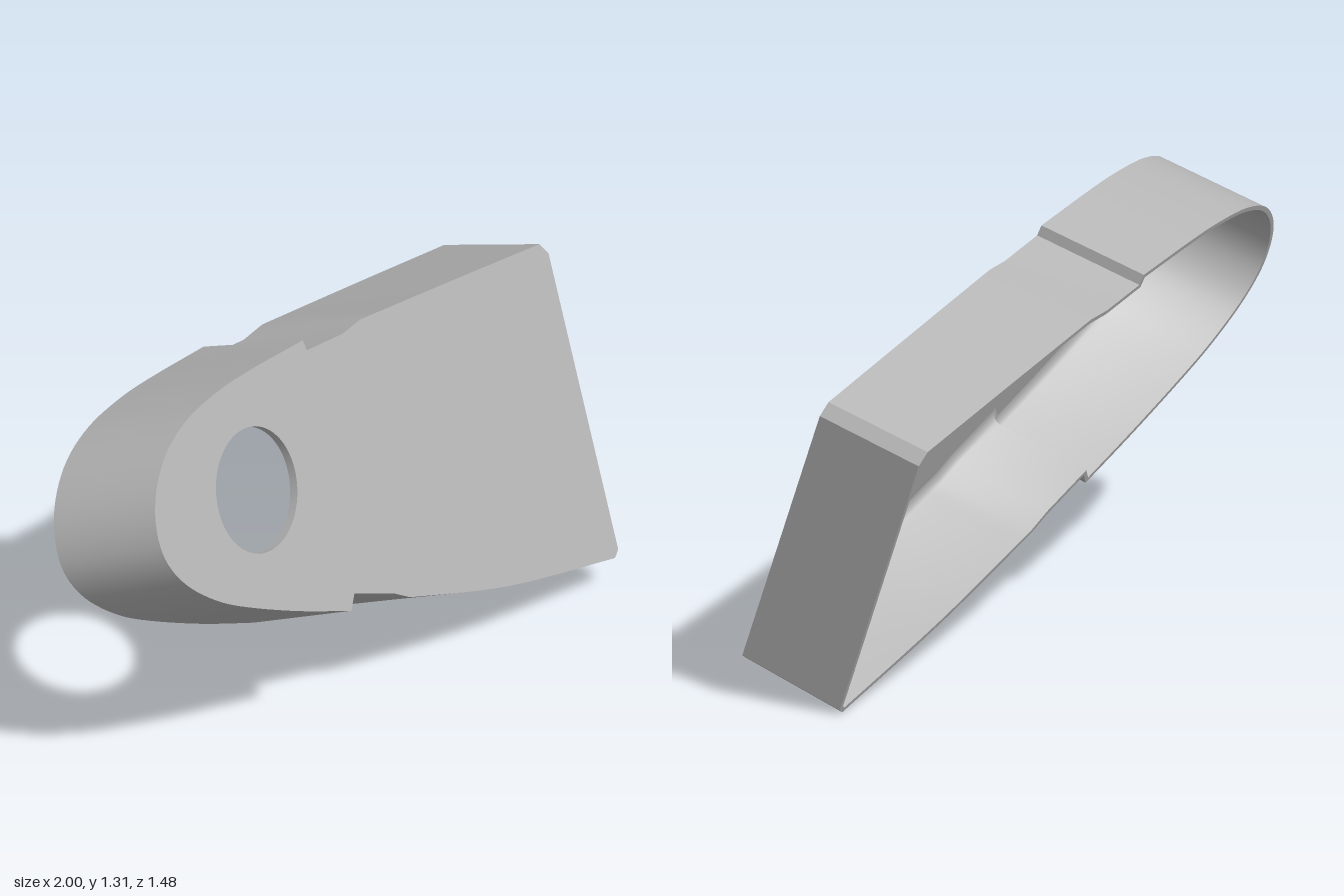
import * as THREE from 'three';
import { toCreasedNormals } from 'three/addons/utils/BufferGeometryUtils.js';

const DEPTH = 0.345, FLOOR = 0.018, WALL = 0.015, FILLET = 0.032;
const HOLE = { x: -0.676, y: 0.763, r: 0.191, lip: 0.016, depth: 0.028 };

const vec = (list) => list.map(([x, y]) => new THREE.Vector2(x, y));

// Counter-clockwise outline of the face: rounded nose, notched edges, chamfered wide end
function outline() {
  const nose = new THREE.SplineCurve(vec([
    [-0.319, 1.119], [-0.584, 1.111], [-0.74, 1.098], [-0.9, 1.066], [-1.03, 1.005],
    [-1.118, 0.915], [-1.161, 0.81], [-1.155, 0.7], [-1.09, 0.6], [-0.97, 0.51],
    [-0.83, 0.443], [-0.6, 0.357], [-0.375, 0.286]])).getPoints(60);
  const lower = new THREE.SplineCurve(vec([[-0.1, 0.24], [0.35, 0.13], [0.855, 0.056]])).getPoints(10);
  const upper = new THREE.SplineCurve(vec([[0.8355, 1.05], [0.39, 1.074], [-0.04, 1.095]])).getPoints(8);
  return [
    ...nose, ...vec([[-0.345, 0.33], [-0.17, 0.275]]),
    ...lower, ...vec([[0.878, 0.076], [0.867, 1.012]]),
    ...upper, ...vec([[-0.137, 1.08], [-0.31, 1.085]])];
}

// Moves a closed loop inwards by d with mitred corners
function inset(loop, d) {
  const n = loop.length;
  return loop.map((p, i) => {
    const a = p.clone().sub(loop[(i + n - 1) % n]).normalize();
    const b = loop[(i + 1) % n].clone().sub(p).normalize();
    const na = new THREE.Vector2(-a.y, a.x), nb = new THREE.Vector2(-b.y, b.x);
    const m = na.clone().add(nb).normalize();
    return p.clone().addScaledVector(m, d / Math.max(0.6, m.dot(nb)));
  });
}

// Side walls lean slightly outwards towards the open back
function lean(loop, z) {
  const t = -z / DEPTH;
  return loop.map((p) => new THREE.Vector3(
    p.x + t * (-0.043 + 0.02 * p.x), p.y + t * (0.02 * (p.y - 0.65) + 0.01 * p.x), z));
}

const circle = (r, z) => Array.from({ length: 64 }, (_, i) => {
  const a = (i / 64) * Math.PI * 2;
  return new THREE.Vector3(HOLE.x + r * Math.cos(a), HOLE.y + r * Math.sin(a), z);
});

// Skins a series of closed loops
function skin(rings) {
  const pos = [], n = rings[0].length;
  for (let k = 0; k < rings.length - 1; k++) {
    const A = rings[k], B = rings[k + 1];
    for (let i = 0; i < n; i++) {
      const j = (i + 1) % n;
      for (const p of [A[i], B[i], B[j], A[i], B[j], A[j]]) pos.push(p.x, p.y, p.z);
    }
  }
  const g = new THREE.BufferGeometry();
  g.setAttribute('position', new THREE.Float32BufferAttribute(pos, 3));
  return toCreasedNormals(g, 0.45);
}

// Flat plate with the round opening
function plate(loop, z, holeRadius) {
  const shape = new THREE.Shape(loop.map((p) => new THREE.Vector2(p.x, p.y)));
  const hole = circle(holeRadius, 0).map((p) => new THREE.Vector2(p.x, p.y));
  shape.holes.push(new THREE.Path(hole));
  return new THREE.ShapeGeometry(shape).translate(0, 0, z);
}

export function createModel() {
  const grey = new THREE.MeshStandardMaterial({ color: 0xb4b4b4 });
  grey.name = 'grey';
  const cover = new THREE.Group();
  cover.name = 'cover';
  const add = (name, geometry) => {
    const mesh = new THREE.Mesh(geometry, grey);
    mesh.name = name;
    cover.add(mesh);
  };

  const outer = outline(), inner = inset(outer, WALL);

  // Outer wall, back rim, inner wall and the fillet into the floor
  const rings = [lean(outer, 0), lean(outer, -DEPTH), lean(inner, -DEPTH)];
  for (let i = 0; i <= 4; i++) {
    const a = (i / 4) * Math.PI / 2;
    rings.push(lean(inset(outer, WALL + FILLET * (1 - Math.cos(a))),
      -FLOOR - FILLET * (1 - Math.sin(a))));
  }
  add('sideWall', skin(rings));

  // Front face and the inside floor behind it
  add('frontFace', plate(outer, 0, HOLE.r));
  const floor = plate(rings[rings.length - 1], -FLOOR, HOLE.r + HOLE.lip);
  const index = floor.index.array;
  for (let i = 0; i < index.length; i += 3) [index[i], index[i + 1]] = [index[i + 1], index[i]];
  floor.computeVertexNormals();
  add('innerFloor', floor);

  // Bore with a low raised lip on the inside
  add('holeCollar', skin([
    circle(HOLE.r + HOLE.lip, -FLOOR), circle(HOLE.r + HOLE.lip, -HOLE.depth),
    circle(HOLE.r, -HOLE.depth), circle(HOLE.r, 0)]));

  // Tilt the whole cover into place
  const w = new THREE.Vector3(0.556, 0.37, 0.745).normalize();
  const u = new THREE.Vector3(-0.101, 0.914, -0.393).cross(w).normalize();
  const v = w.clone().cross(u);
  cover.quaternion.setFromRotationMatrix(new THREE.Matrix4().makeBasis(u, v, w));

  // Centre it and stand it on the ground
  const model = new THREE.Group();
  model.name = 'model';
  model.add(cover);
  model.updateMatrixWorld(true);
  const box = new THREE.Box3().setFromObject(model, true);
  const mid = box.getCenter(new THREE.Vector3());
  cover.position.set(-mid.x, -box.min.y, -mid.z);
  return model;
}
